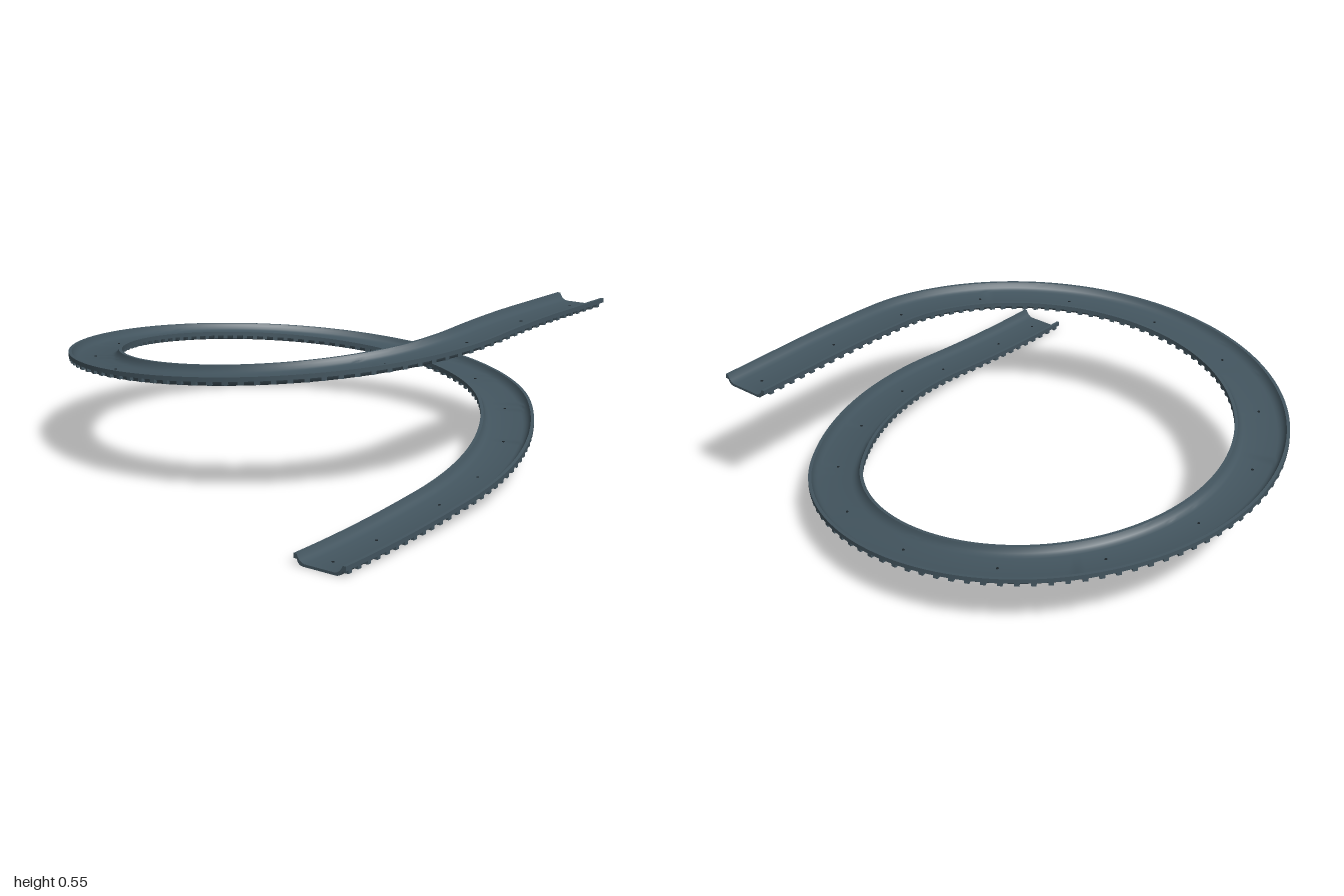
import * as THREE from 'three';
import { mergeGeometries, toCreasedNormals } from 'three/addons/utils/BufferGeometryUtils.js';

// Plan of the track: straight, wide easing arc, round loop, straight
const CX = -0.078, CZ = -0.115, R = 0.783, A = 0.658, X0 = 0.86;
const R2 = (X0 - CX - R * Math.cos(A)) / (1 - Math.cos(A));
const Z2 = CZ - R * Math.sin(A) + R2 * Math.sin(A);
const S1 = 1 - Z2, S2 = S1 + R2 * A, S3 = S2 + R * (2 * Math.PI - A), S4 = S3 + CZ + 0.86;

// Climb: constant slope, eased at both ends
const SLOPE = 0.0868, TOP = 0.513, EASE = 0.3;
const softRamp = (d) => (d < -EASE ? 0 : d > EASE ? d : (d + EASE) ** 2 / (4 * EASE));
const height = (s) => SLOPE * (softRamp(s - 0.29) - softRamp(s - 0.29 - TOP / SLOPE));

// Centre of the track and its heading at distance s
function station(s) {
  const y = height(s);
  if (s < S1) return { x: X0, y, z: 1 - s, a: 0 };
  if (s < S2) {
    const a = (s - S1) / R2;
    return { x: X0 - R2 + R2 * Math.cos(a), y, z: Z2 - R2 * Math.sin(a), a };
  }
  if (s < S3) {
    const a = A + (s - S2) / R;
    return { x: CX + R * Math.cos(a), y, z: CZ - R * Math.sin(a), a };
  }
  return { x: CX + R, y, z: CZ - (s - S3), a: 0 };
}

// Half of the channel section (across, up): underside, lip, then inner wall down to the floor
const half = [
  [0.066, 0], [0.076, 0.003], [0.083, 0.010], [0.087, 0.020], [0.1, 0.021], [0.1, 0.037],
  [0.088, 0.037], [0.084, 0.028], [0.077, 0.018], [0.068, 0.012], [0.058, 0.009],
];
const section = [...half, ...half.map(([u, v]) => [-u, v]).reverse()];

function channelGeometry() {
  const rings = [], pos = [], n = 220, m = section.length;
  for (let i = 0; i <= n; i++) {
    const p = station((S4 * i) / n);
    rings.push(section.map(([u, v]) => [p.x + u * Math.cos(p.a), p.y + v, p.z - u * Math.sin(p.a)]));
  }
  const tri = (a, b, c) => pos.push(...a, ...b, ...c);
  for (let i = 0; i < n; i++) {
    for (let j = 0; j < m; j++) {
      const k = (j + 1) % m, p = rings[i], q = rings[i + 1];
      tri(p[j], q[j], q[k]);
      tri(p[j], q[k], p[k]);
    }
  }
  // End faces
  const outline = section.map(([u, v]) => new THREE.Vector2(u, v));
  for (const [a, b, c] of THREE.ShapeUtils.triangulateShape(outline, [])) {
    tri(rings[0][a], rings[0][b], rings[0][c]);
    tri(rings[n][a], rings[n][c], rings[n][b]);
  }
  const g = new THREE.BufferGeometry();
  g.setAttribute('position', new THREE.Float32BufferAttribute(pos, 3));
  return toCreasedNormals(g, 0.6);
}

// Place a small geometry at distance s, offset u across and v up
function place(g, s, u, v) {
  const p = station(s);
  return g.translate(u, v, 0).rotateY(p.a).translate(p.x, p.y, p.z);
}

export function createModel() {
  const slate = new THREE.MeshStandardMaterial({ color: 0x43555f });
  slate.name = 'slate';
  const dark = new THREE.MeshStandardMaterial({ color: 0x1c2429 });
  dark.name = 'darkHole';
  const group = new THREE.Group();
  group.name = 'spiralTrack';
  const add = (name, geometry, material) => {
    const mesh = new THREE.Mesh(geometry, material);
    mesh.name = name;
    group.add(mesh);
  };

  add('channel', channelGeometry(), slate);

  // Short ribs below both lips
  const ribs = [];
  for (let s = 0.025; s < S4 - 0.01; s += 0.05) {
    for (const side of [-1, 1]) {
      ribs.push(place(new THREE.BoxGeometry(0.016, 0.014, 0.018), s, side * 0.09, 0.015));
    }
  }
  add('lipRibs', mergeGeometries(ribs), slate);

  // Fixing holes along the middle of the floor
  const spots = [0.07, 0.3, 0.66, 0.94, 1.3];
  for (let s = 1.66; s < S4; s += 0.3625) spots.push(s);
  const holes = spots.map((s) => place(new THREE.CylinderGeometry(0.005, 0.005, 0.003, 10), s, 0, 0.0092));
  add('fixingHoles', mergeGeometries(holes), dark);

  return group;
}
